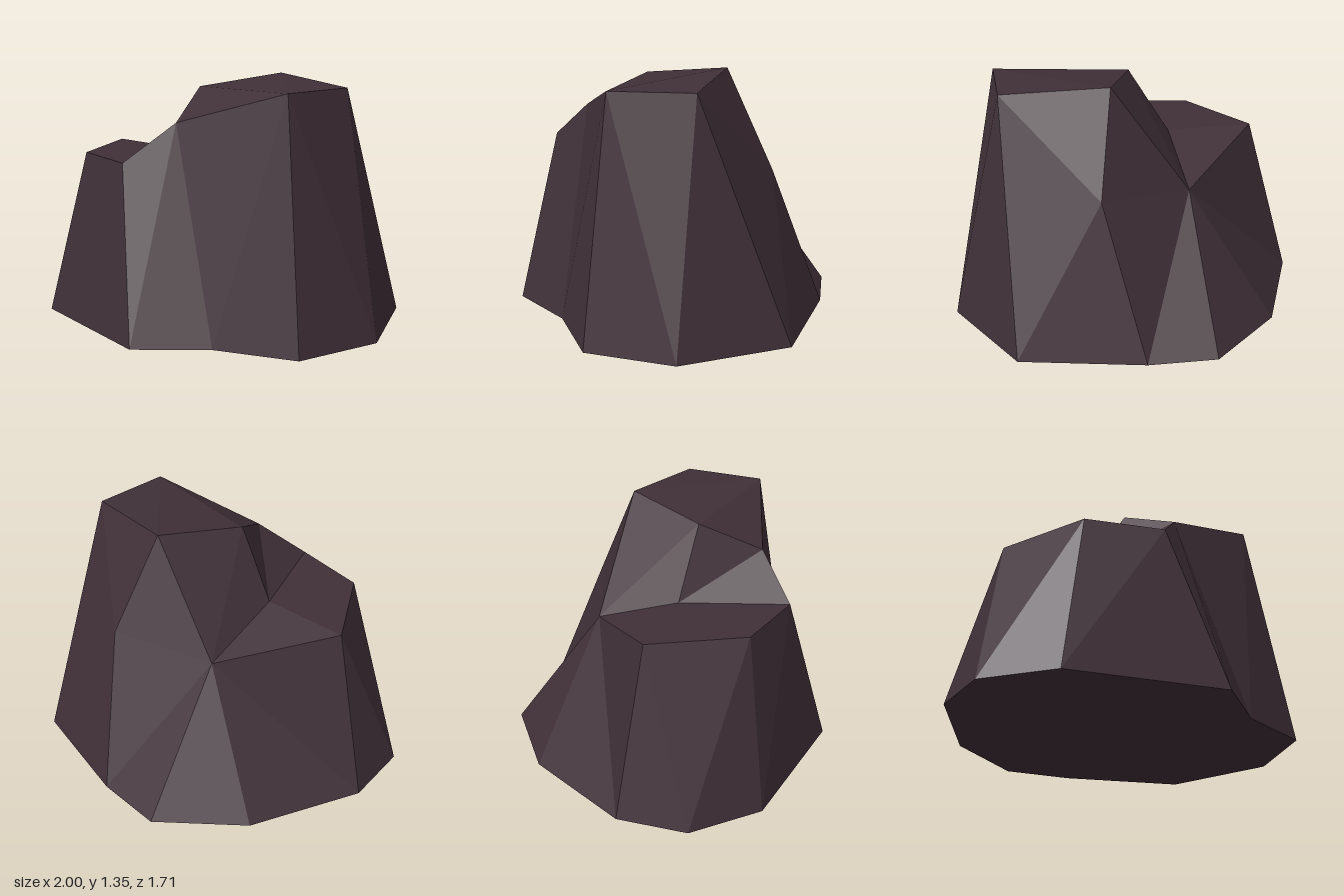
import * as THREE from 'three';

// Outline on the ground, x and z, clockwise seen from above
const base = [
  [-0.38, -0.85], [0, -0.855], [0.675, -0.735], [1, -0.19], [0.925, 0.305], [0.52, 0.53],
  [0.24, 0.85], [-0.61, 0.8], [-0.94, 0.525], [-1, 0.14], [-0.765, -0.48],
];

// Upper corners of the rock
const P = {
  backLow: [-0.3, 0.75, -0.325], peak: [0.125, 1.35, -0.315], backLedge: [0.205, 0.82, -0.575],
  topBack: [0.705, 1.31, -0.24], topFront: [0.725, 1.31, 0.21], brow: [0.145, 1.13, 0.46],
  topInner: [-0.03, 1.29, 0.155], stepInner: [-0.26, 0.92, 0.145], stepFront: [-0.02, 0.92, 0.69],
  stepCorner: [-0.45, 0.92, 0.635], stepSide: [-0.75, 0.92, 0.185],
};
base.forEach(([x, z], i) => { P['b' + i] = [x, 0, z]; });

// Facets of the tall crown, the low step and the sides
const crown = ['peak topBack topFront', 'peak topFront topInner', 'topInner topFront brow',
  'topInner brow stepInner', 'peak topInner backLow', 'backLow topInner stepInner'];
const step = ['stepInner brow stepFront', 'stepInner stepFront stepCorner',
  'stepInner stepCorner stepSide', 'backLow stepInner stepSide'];
const sides = [
  'b0 b1 backLow', 'b1 backLedge backLow', 'backLow backLedge peak',
  'b1 b2 backLedge', 'b2 topBack backLedge', 'backLedge topBack peak',
  'b2 b3 topBack', 'b3 topFront topBack', 'b3 b4 topFront',
  'b4 b5 topFront', 'b5 brow topFront', 'b5 b6 brow', 'b6 stepFront brow',
  'b6 b7 stepFront', 'b7 stepCorner stepFront', 'b7 b8 stepCorner', 'b8 stepSide stepCorner',
  'b8 b9 stepSide', 'b9 backLow stepSide', 'b9 b10 backLow', 'b10 b0 backLow',
];
// Underside fans out from the notch in the outline
const underside = [];
for (let i = 6; i < 15; i++) underside.push(`b5 b${i % 11} b${(i + 1) % 11}`);

// Build a flat-faced mesh, turning every facet upward (1) or downward (-1)
function facetMesh(name, facets, facing, material) {
  const positions = [];
  for (const facet of facets) {
    const [a, b, c] = facet.split(' ').map((key) => P[key]);
    const ny = (b[2] - a[2]) * (c[0] - a[0]) - (b[0] - a[0]) * (c[2] - a[2]);
    positions.push(...a, ...(ny * facing > 0 ? [...b, ...c] : [...c, ...b]));
  }
  const geometry = new THREE.BufferGeometry();
  geometry.setAttribute('position', new THREE.Float32BufferAttribute(positions, 3));
  geometry.computeVertexNormals();
  const mesh = new THREE.Mesh(geometry, material);
  mesh.name = name;
  return mesh;
}

export function createModel() {
  const stone = new THREE.MeshStandardMaterial({ color: 0x403038 });
  stone.name = 'dark stone';
  stone.flatShading = true;
  const rock = new THREE.Group();
  rock.name = 'rock';
  rock.add(
    facetMesh('crown', crown, 1, stone),
    facetMesh('step', step, 1, stone),
    facetMesh('sides', sides, 1, stone),
    facetMesh('underside', underside, -1, stone),
  );
  return rock;
}
